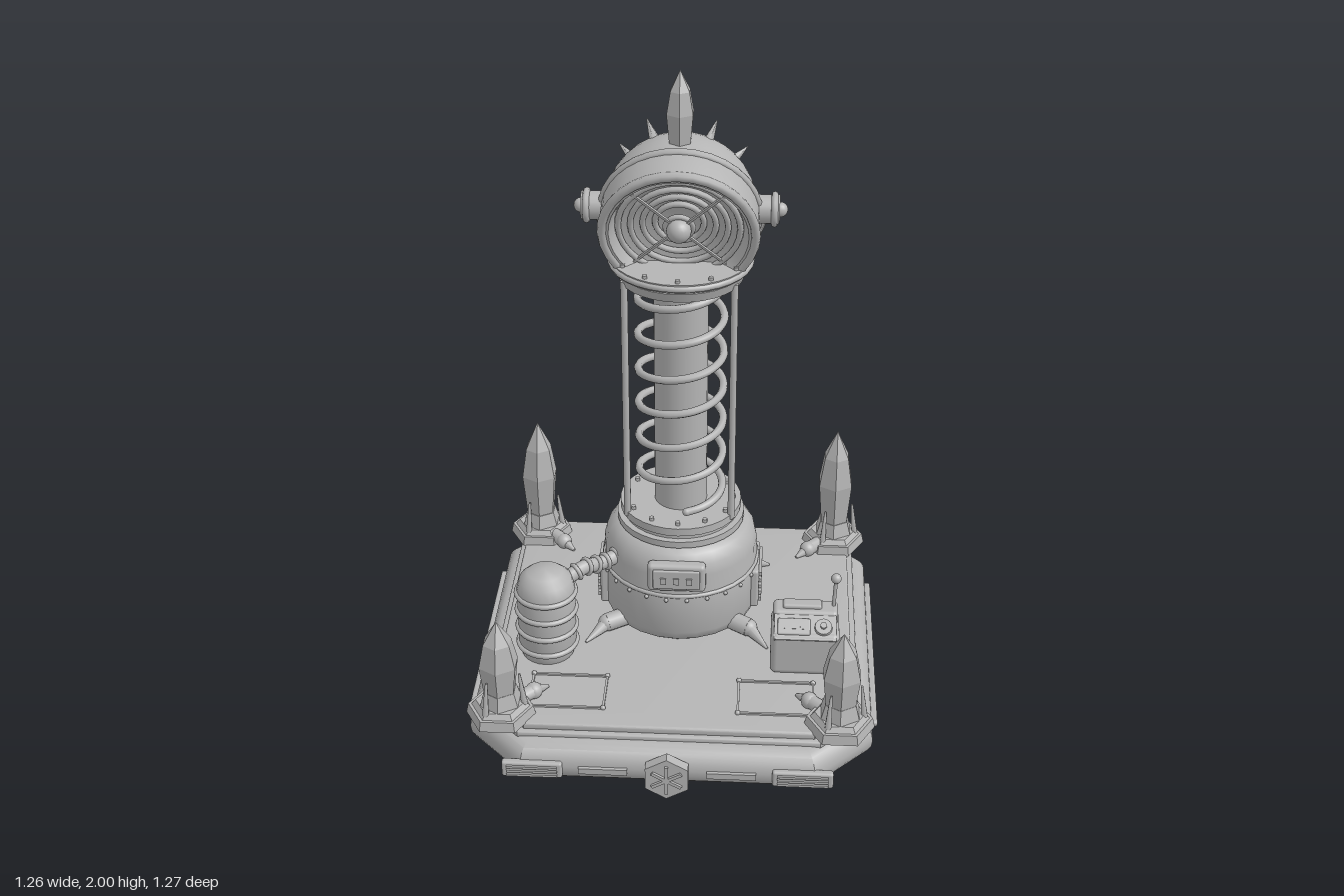
import * as THREE from 'three';
import { toCreasedNormals } from 'three/addons/utils/BufferGeometryUtils.js';
import { RoundedBoxGeometry } from 'three/addons/geometries/RoundedBoxGeometry.js';

const metal = new THREE.MeshStandardMaterial({ color: 0xb4b4b4 });
metal.name = 'grey metal';
const V = (x, y, z) => new THREE.Vector3(x, y, z);
const CZ = -0.13; // depth of the tower axis

function add(parent, name, geo, x = 0, y = 0, z = 0) {
  const m = new THREE.Mesh(geo, metal);
  m.name = name;
  m.position.set(x, y, z);
  parent.add(m);
  return m;
}
function sub(parent, name, x = 0, y = 0, z = 0) {
  const g = new THREE.Group();
  g.name = name;
  g.position.set(x, y, z);
  parent.add(g);
  return g;
}
const box = (w, h, d) => new THREE.BoxGeometry(w, h, d);
const cyl = (r1, r2, h, n = 20) => new THREE.CylinderGeometry(r1, r2, h, n);
const ball = (r) => new THREE.SphereGeometry(r, 18, 12);
const ring = (r, t, n = 32) => new THREE.TorusGeometry(r, t, 8, n);
const flatRing = (r, t) => ring(r, t).rotateX(Math.PI / 2);
const lathe = (pts, n = 28, crease = 0.6) =>
  toCreasedNormals(new THREE.LatheGeometry(pts.map((p) => new THREE.Vector2(...p)), n), crease);
function faceted(geo) {
  const g = geo.toNonIndexed();
  g.computeVertexNormals();
  return g;
}
// cylinder or cone running from point a to point b
function bar(parent, name, a, b, r1, r2 = r1, n = 10) {
  const d = b.clone().sub(a);
  const m = add(parent, name, cyl(r2, r1, d.length(), n));
  m.position.copy(a).addScaledVector(d, 0.5);
  m.quaternion.setFromUnitVectors(V(0, 1, 0), d.normalize());
  return m;
}
// slab with cut corners and rounded edges, from y0 to y1
function slab(hx, hz, cut, y0, y1, bevel) {
  const x = hx - bevel, z = hz - bevel;
  const s = new THREE.Shape([[x - cut, -z], [x, cut - z], [x, z - cut], [x - cut, z],
    [cut - x, z], [-x, z - cut], [-x, cut - z], [cut - x, -z]].map((p) => new THREE.Vector2(...p)));
  const g = new THREE.ExtrudeGeometry(s, { depth: y1 - y0 - 2 * bevel, bevelSize: bevel, bevelThickness: bevel, bevelSegments: 5 });
  g.rotateX(-Math.PI / 2).translate(0, y0 + bevel, 0);
  return toCreasedNormals(g, 0.5);
}
const crystal = (r, h) => faceted(new THREE.LatheGeometry(
  [[0, 0], [r * 0.72, 0], [r, h * 0.5], [r * 0.72, h * 0.76], [0, h]].map((p) => new THREE.Vector2(...p)), 6));

function buildBase(root) {
  const g = sub(root, 'base');
  add(g, 'plinth', slab(0.61, 0.615, 0.14, 0.015, 0.14, 0.058), 0, 0, -0.015);
  add(g, 'lowerDeck', slab(0.565, 0.555, 0.11, 0.13, 0.155, 0.008), 0, 0, -0.02);
  add(g, 'deck', slab(0.547, 0.54, 0.11, 0.15, 0.176, 0.008), 0, 0, -0.02);
  for (const s of [-1, 1]) {
    add(g, 'sideStrip', new RoundedBoxGeometry(0.03, 0.02, 0.73, 2, 0.008), s * 0.613, 0.076, -0.015);
    add(g, 'frontStrip', box(0.145, 0.02, 0.02), s * 0.19, 0.076, 0.6);
    // grille panels on the front edge
    add(g, 'grilleFrame', new RoundedBoxGeometry(0.18, 0.055, 0.025, 2, 0.008), s * 0.4, 0.074, 0.6);
    for (let i = -1; i <= 1; i++) add(g, 'grilleSlat', box(0.15, 0.008, 0.01), s * 0.4, 0.074 + i * 0.014, 0.614);
    // outlined hatch on the deck
    const h = sub(g, 'hatchOutline', s * 0.315, 0.178, 0.365);
    for (const k of [-1, 1]) {
      add(h, 'hatchBar', box(0.23, 0.008, 0.007), 0, 0, k * 0.076);
      add(h, 'hatchBar', box(0.007, 0.008, 0.152), k * 0.113, 0, 0);
      for (const j of [-1, 1]) add(h, 'hatchStud', ball(0.008), j * 0.113, 0.002, k * 0.076);
    }
  }
  add(g, 'backStrip', new RoundedBoxGeometry(0.86, 0.02, 0.025, 2, 0.008), 0, 0.076, -0.624);
  // hexagonal emblem with six arms
  const e = sub(g, 'frontEmblem', 0, 0.073, 0.612);
  add(e, 'hexPlate', faceted(cyl(0.073, 0.073, 0.032, 6).rotateX(Math.PI / 2)));
  for (let i = 0; i < 3; i++) add(e, 'emblemArm', box(0.01, 0.1, 0.012), 0, 0, 0.018).rotation.z = i * Math.PI / 3;
}

function buildCorner(root, x, z, h) {
  const g = sub(root, 'cornerCrystal', x, 0.172, z);
  add(g, 'hexFoot', faceted(cyl(0.098, 0.105, 0.032, 6)), 0, 0.016, 0).rotation.y = Math.PI / 6;
  add(g, 'hexStep', faceted(cyl(0.075, 0.088, 0.016, 6)), 0, 0.04, 0).rotation.y = Math.PI / 6;
  add(g, 'collar', faceted(cyl(0.052, 0.066, 0.05, 6)), 0, 0.07, 0);
  add(g, 'crystal', crystal(0.062, h - 0.04), 0, 0.04, 0);
  for (let i = 0; i < 3; i++) {
    const a = i * Math.PI * 2 / 3 + Math.PI / 2, c = Math.sin(a), s = Math.cos(a);
    bar(g, 'prong', V(c * 0.072, 0.04, s * 0.072), V(c * 0.06, 0.15, s * 0.06), 0.011, 0.004, 6);
  }
  // nozzle aimed at the tower
  const d = V(-x, 0, -z).normalize();
  const at = (t, y) => d.clone().multiplyScalar(t).setY(y);
  bar(g, 'nozzlePipe', at(0.07, 0.022), at(0.125, 0.022), 0.023);
  add(g, 'nozzleJoint', ball(0.026)).position.copy(at(0.122, 0.022));
  bar(g, 'nozzleTip', at(0.125, 0.022), at(0.175, 0.012), 0.02, 0.005);
}

function buildBoiler(root) {
  const g = sub(root, 'boiler', 0, 0, CZ);
  add(g, 'boilerBody', lathe([[0, 0.174], [0.215, 0.174], [0.235, 0.19], [0.247, 0.22], [0.247, 0.35], [0.243, 0.37],
    [0.243, 0.43], [0.235, 0.465], [0.215, 0.495], [0.19, 0.51], [0, 0.512]], 24));
  add(g, 'seam', flatRing(0.244, 0.007), 0, 0.36, 0);
  for (let i = 0; i < 24; i++) {
    const a = (i + 0.5) * Math.PI / 12;
    add(g, 'rivet', new THREE.SphereGeometry(0.007, 6, 4), Math.sin(a) * 0.247, 0.345, Math.cos(a) * 0.247);
  }
  add(g, 'lowerFlange', cyl(0.2, 0.2, 0.022, 32), 0, 0.522, 0);
  add(g, 'flangeNeck', cyl(0.18, 0.18, 0.02, 32), 0, 0.54, 0);
  add(g, 'upperFlange', cyl(0.19, 0.19, 0.026, 32), 0, 0.562, 0);
  // front panel with gauge bars
  add(g, 'frontPanel', new RoundedBoxGeometry(0.18, 0.098, 0.04, 2, 0.014), 0, 0.432, 0.235);
  add(g, 'panelInset', new RoundedBoxGeometry(0.145, 0.068, 0.012, 2, 0.005), 0, 0.432, 0.256);
  for (let i = -1; i <= 1; i++) add(g, 'gaugeBar', box(0.018, 0.022, 0.008), i * 0.04, 0.43, 0.262);
  // louvred vents and claws
  for (const s of [-1, 1]) {
    add(g, 'ventFrame', new RoundedBoxGeometry(0.03, 0.14, 0.18, 2, 0.01), s * 0.238, 0.285, 0);
    for (let i = -2; i <= 2; i++) add(g, 'ventSlat', box(0.014, 0.013, 0.145), s * 0.255, 0.285 + i * 0.024, 0);
    for (const k of [-1, 1]) {
      const a = V(s * 0.165, 0.21, k * 0.15), b = V(s * 0.225, 0.203, k * 0.18), c = V(s * 0.285, 0.18, k * (k > 0 ? 0.255 : 0.2));
      bar(g, 'clawRoot', a, b, 0.03);
      add(g, 'clawJoint', ball(0.028)).position.copy(b);
      bar(g, 'claw', b, c, 0.024, 0.004);
    }
  }
}

function buildColumn(root) {
  const g = sub(root, 'column', 0, 0, CZ);
  add(g, 'core', cyl(0.082, 0.082, 0.82, 28), 0, 0.965, 0);
  const pts = [];
  for (let i = 0; i <= 126; i++) {
    const turn = -5.97 + 6.22 * i / 126, t = turn * Math.PI * 2;
    pts.push(V(Math.sin(t) * 0.13, 1.303 + turn * 0.118, Math.cos(t) * 0.13));
  }
  add(g, 'coil', new THREE.TubeGeometry(new THREE.CatmullRomCurve3(pts), 300, 0.0125, 8));
  for (const t of [0, -1]) { // closed coil ends
    const p = pts.at(t);
    add(g, 'coilEnd', ball(0.0125)).position.copy(p);
  }
  for (let i = 0; i < 3; i++) {
    const a = Math.PI / 3 + i * Math.PI * 2 / 3, x = Math.sin(a) * 0.186, z = Math.cos(a) * 0.186;
    bar(g, 'supportRod', V(x, 0.56, z), V(x, 1.37, z), 0.011);
  }
  add(g, 'topFlangeLower', cyl(0.195, 0.185, 0.03, 32), 0, 1.367, 0);
  add(g, 'topFlangeNeck', cyl(0.18, 0.18, 0.02, 32), 0, 1.388, 0);
  add(g, 'topFlange', cyl(0.208, 0.208, 0.026, 32), 0, 1.404, 0);
  add(g, 'topFlangeEdge', flatRing(0.206, 0.01), 0, 1.404, 0);
  for (let i = 0; i < 12; i++) {
    const a = i * Math.PI / 6, x = Math.sin(a), z = Math.cos(a);
    add(g, 'bolt', cyl(0.008, 0.008, 0.012, 6), x * 0.19, 1.42, z * 0.19);
    add(g, 'bolt', cyl(0.008, 0.008, 0.012, 6), x * 0.165, 0.58, z * 0.165);
  }
}

function buildHead(root) {
  const P = V(0, 1.573, -0.1);
  const g = sub(root, 'head', P.x, P.y, P.z);
  g.rotation.x = 0.33;
  // domed shell, rim and stepped dish in one profile
  const prof = [];
  for (let i = 0; i <= 12; i++) {
    const a = i * Math.PI / 24;
    prof.push([Math.sin(a) * 0.222, -Math.cos(a) * 0.222]);
  }
  prof.push([0.228, 0.01], [0.228, 0.11], [0.2, 0.11], [0.185, 0.075], [0.14, 0.06], [0.08, 0.045], [0, 0.04]);
  add(g, 'shell', lathe(prof, 36).rotateX(Math.PI / 2));
  add(g, 'rimBack', ring(0.226, 0.012), 0, 0, 0.012);
  add(g, 'rimFront', ring(0.219, 0.014), 0, 0, 0.105);
  [0.175, 0.14, 0.105, 0.07].forEach((r, i) => add(g, 'dishRing', ring(r, 0.009), 0, 0, 0.078 - i * 0.008));
  for (const s of [-1, 1]) add(g, 'dishSpoke', box(0.38, 0.007, 0.008), 0, 0, 0.082).rotation.z = s * Math.PI / 4;
  add(g, 'emitter', ball(0.036), 0, 0, 0.09);
  add(g, 'emitterCollar', ring(0.04, 0.008), 0, 0, 0.075);

  // crest crystal, spikes, pivots and rear vent
  add(root, 'crestCrystal', crystal(0.043, 0.25), 0, 1.75, -0.08);
  for (const s of [-1, 1]) {
    for (const [x, y, z] of [[0.085, 0.21, -0.06], [0.165, 0.12, -0.135], [0.1, -0.07, -0.2], [0.2, -0.02, -0.1]]) {
      const d = V(s * x, y, z).normalize();
      const m = bar(root, 'spike', d.clone().multiplyScalar(0.2).add(P), d.clone().multiplyScalar(0.275).add(P), 0.027, 0.003, 6);
      m.scale.x = 0.7;
    }
    bar(root, 'pivot', V(s * 0.2, 1.58, -0.1), V(s * 0.285, 1.58, -0.1), 0.042, 0.042, 20);
    add(root, 'pivotRing', ring(0.042, 0.01).rotateY(Math.PI / 2), s * 0.27, 1.58, -0.1);
    add(root, 'pivotCap', ball(0.022), s * 0.286, 1.58, -0.1);
    bar(root, 'yokeArm', V(s * 0.243, 1.58, -0.1), V(s * 0.185, 1.41, -0.16), 0.02, 0.02, 8);
  }
  const d = V(0, 0.1, -0.185).normalize();
  const out = (t) => d.clone().multiplyScalar(t).add(P);
  bar(root, 'rearVent', out(0.19), out(0.25), 0.048, 0.048, 20);
  bar(root, 'rearVentCap', out(0.245), out(0.265), 0.04, 0.036, 20);
  add(root, 'rearLamp', ball(0.028), 0.07, 1.66, -0.29);
}

function buildTank(root) {
  const g = sub(root, 'tank', -0.4, 0, 0.16);
  add(g, 'tankBody', lathe([[0, 0.174], [0.08, 0.174], [0.09, 0.2], [0.09, 0.41], [0.08, 0.45], [0.055, 0.472], [0, 0.482]], 24, 0.9));
  for (const y of [0.215, 0.275, 0.338, 0.402]) add(g, 'tankHoop', flatRing(0.09, 0.009), 0, y, 0);
  // jointed hose to the boiler
  const c = new THREE.CatmullRomCurve3([V(-0.34, 0.42, 0.12), V(-0.29, 0.435, 0.08), V(-0.24, 0.42, 0.03), V(-0.17, 0.425, -0.03)]);
  add(root, 'hose', new THREE.TubeGeometry(c, 24, 0.023, 10));
  for (let i = 1; i <= 5; i++) {
    const m = add(root, 'hoseCollar', ring(0.024, 0.007, 14));
    m.position.copy(c.getPointAt(i / 6));
    m.quaternion.setFromUnitVectors(V(0, 0, 1), c.getTangentAt(i / 6));
  }
}

function buildConsole(root) {
  const g = sub(root, 'console', 0.4, 0, 0.17);
  add(g, 'cabinet', new RoundedBoxGeometry(0.21, 0.15, 0.15, 3, 0.02), 0, 0.247, 0);
  add(g, 'cabinetTop', new RoundedBoxGeometry(0.2, 0.05, 0.075, 3, 0.015), 0, 0.335, -0.033);
  add(g, 'topHandle', new RoundedBoxGeometry(0.12, 0.02, 0.04, 2, 0.008), -0.01, 0.362, -0.035);
  // sloping control panel
  const p = sub(g, 'controlPanel', 0, 0.322, 0.035);
  p.rotation.x = 0.5;
  add(p, 'panelPlate', box(0.19, 0.02, 0.085));
  add(p, 'display', new RoundedBoxGeometry(0.1, 0.012, 0.055, 2, 0.005), -0.035, 0.012, 0);
  for (let i = -1; i <= 1; i++) add(p, 'displayBar', box(0.012, 0.006, 0.02), -0.035 + i * 0.025, 0.018, 0);
  add(p, 'dial', cyl(0.026, 0.028, 0.016, 16), 0.055, 0.014, 0);
  add(p, 'dialKnob', cyl(0.01, 0.01, 0.02, 10), 0.055, 0.022, 0);
  bar(g, 'antenna', V(0.085, 0.33, -0.04), V(0.09, 0.46, -0.04), 0.006);
  add(g, 'antennaBall', ball(0.016), 0.09, 0.46, -0.04);
}

export function createModel() {
  const root = new THREE.Group();
  root.name = 'coilTower';
  buildBase(root);
  for (const s of [-1, 1]) {
    buildCorner(root, s * 0.505, 0.472, 0.338);
    buildCorner(root, s * 0.5, -0.495, 0.438);
  }
  buildBoiler(root);
  buildColumn(root);
  buildHead(root);
  buildTank(root);
  buildConsole(root);
  return root;
}
